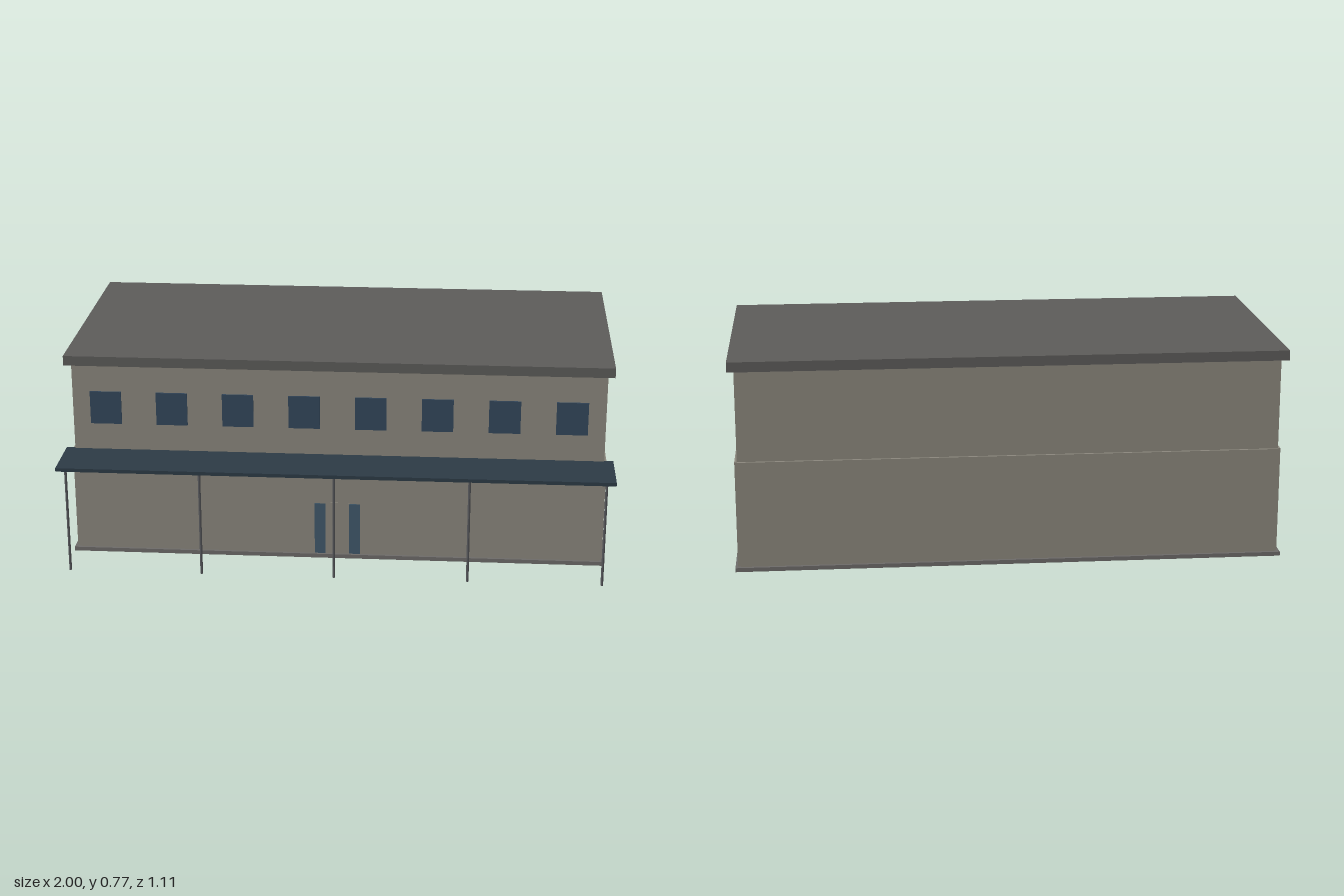
import * as THREE from 'three';

const mat = (color) => new THREE.MeshStandardMaterial({ color, flatShading: true });

export function createModel() {
  const model = new THREE.Group();
  const wall = mat(0x8a867c), roofGrey = mat(0x5c5b59), plinthGrey = mat(0x6c6a68);
  const canopyBlue = mat(0x2c3a45), glass = mat(0x33465a), doorGlass = mat(0x40586a);
  const wood = mat(0x7a5226), floorBrown = mat(0x4a3a2c), steel = mat(0x55565a);

  // Box given by its limits on each axis
  function box(name, material, [x0, x1], [y0, y1], [z0, z1]) {
    const mesh = new THREE.Mesh(new THREE.BoxGeometry(x1 - x0, y1 - y0, z1 - z0), material);
    mesh.position.set((x0 + x1) / 2, (y0 + y1) / 2, (z0 + z1) / 2);
    mesh.name = name;
    model.add(mesh);
    return mesh;
  }

  const W = 0.967, front = 0.351, back = -0.527, t = 0.009;

  // Plinth and floor
  box('plinthFront', plinthGrey, [-0.985, 0.985], [0, 0.015], [front, 0.37]);
  box('plinthBack', plinthGrey, [-0.985, 0.985], [0, 0.015], [-0.547, back]);
  for (const s of [-1, 1]) {
    const xs = [s * W, s * 0.985].sort((a, b) => a - b);
    box('plinthSide', plinthGrey, xs, [0, 0.015], [back, front]);
  }
  box('floor', floorBrown, [-W, W], [0, 0.015], [back, front]);

  // Ground storey walls, centred on the building lines so the corners are notched
  const low = [0.015, 0.403];
  box('lowerFrontWall', wall, [-W, W], low, [front - t, front + t]);
  box('lowerBackWall', wall, [-W, W], low, [back - t, back + t]);
  for (const s of [-1, 1]) {
    box('lowerSideWall', wall, [s * W - t, s * W + t], low, [back, front]);
  }

  // Upper storey and overhanging roof
  box('upperStorey', wall, [-W, W], [0.4, 0.735], [back, front]);
  box('roof', roofGrey, [-0.99, 0.99], [0.735, 0.771], [-0.554, 0.377]);

  // Row of upper windows
  for (let i = 0; i < 8; i++) {
    const x = (i - 3.5) * 0.2417;
    box('window', glass, [x - 0.057, x + 0.057], [0.507, 0.63], [front - 0.006, front + 0.006]);
  }

  // Wooden boards beneath the canopy
  for (const x of [-0.725, -0.242, 0.242, 0.725]) {
    box('woodenBoard', wood, [x - 0.143, x + 0.143], [0.366, 0.393], [front + t, 0.369]);
  }

  // Entrance: slid-open glass leaves and a thin head rail
  for (const s of [-1, 1]) {
    box('doorLeaf', doorGlass, [s * 0.064 - 0.02, s * 0.064 + 0.02], [0.016, 0.215], [front, 0.363]);
  }
  box('doorHead', wall, [-0.045, 0.045], [0.214, 0.219], [front, 0.362]);

  // Canopy on slender posts
  box('canopy', canopyBlue, [-1, 1], [0.393, 0.406], [0.344, 0.553]);
  const postGeometry = new THREE.CylinderGeometry(0.0048, 0.0048, 0.393, 8);
  for (let i = -2; i <= 2; i++) {
    const post = new THREE.Mesh(postGeometry, steel);
    post.position.set(i * W / 2, 0.1965, 0.537);
    post.name = 'canopyPost';
    model.add(post);
  }
  return model;
}
